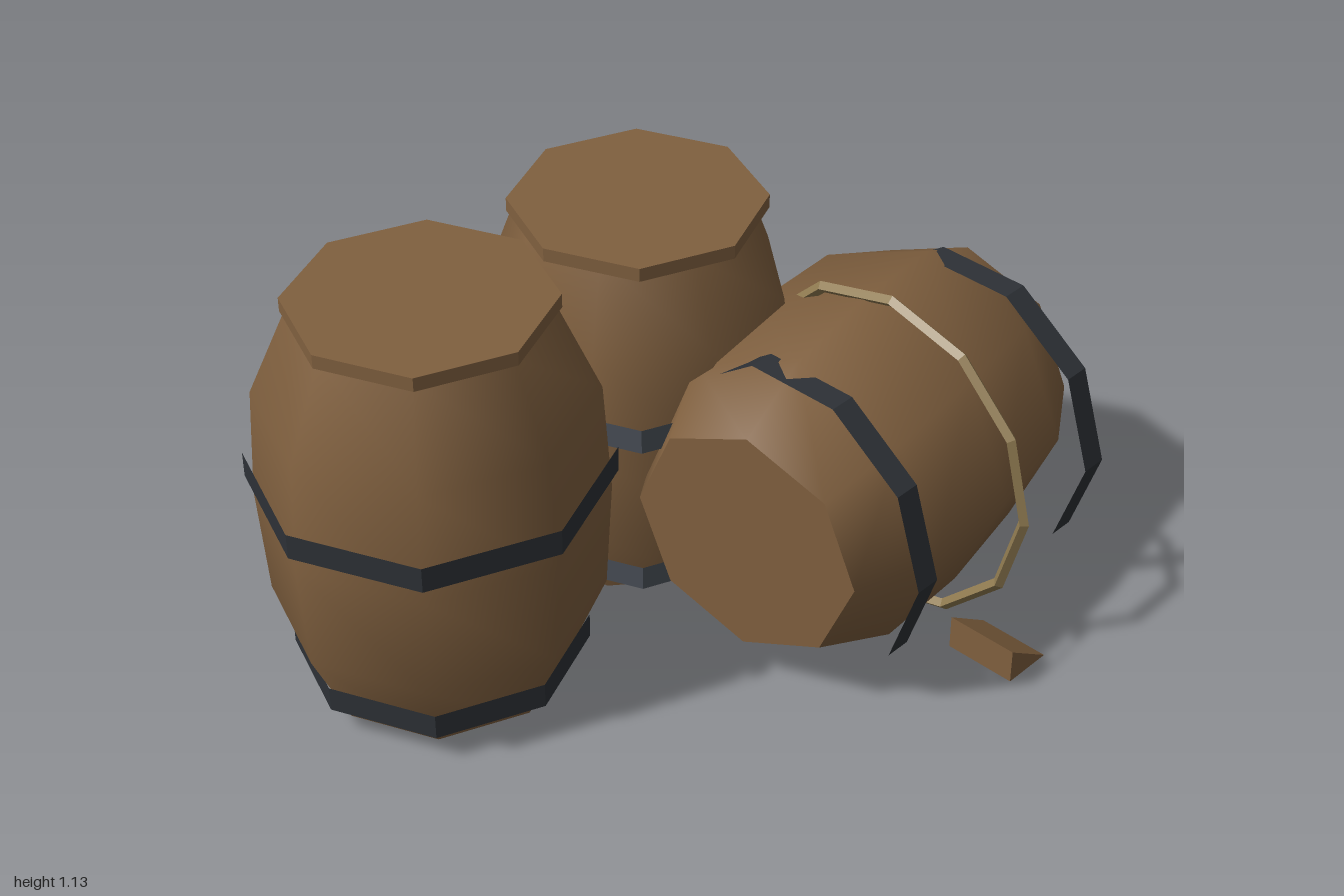
import * as THREE from 'three';

const mat = (color, flatShading = true) =>
  new THREE.MeshStandardMaterial({ color, flatShading, roughness: 0.9 });
const wood = mat(0x80603f);
const woodSmooth = mat(0x80603f, false);
const iron = mat(0x2d3136);
const steel = mat(0x494f57);
const rope = mat(0x8f7a50);

function add(parent, name, geometry, material, x = 0, y = 0, z = 0) {
  const mesh = new THREE.Mesh(geometry, material);
  mesh.name = name;
  mesh.position.set(x, y, z);
  parent.add(mesh);
  return mesh;
}

// Eight-sided bulging body along y, centred on its origin, with flat ends
function barrelBody(name, half, shoulder, rEnd, rShoulder, rMid) {
  const group = new THREE.Group();
  group.name = name;
  const profile = [[rEnd, -half], [rShoulder, -shoulder], [rMid, 0], [rShoulder, shoulder], [rEnd, half]]
    .map(([r, y]) => new THREE.Vector2(r, y));
  add(group, 'staves', new THREE.LatheGeometry(profile, 8), woodSmooth);
  for (const side of [-1, 1]) {
    const end = add(group, 'barrelEnd', new THREE.CircleGeometry(rEnd, 8), wood, 0, side * half, 0);
    end.rotation.x = -side * Math.PI / 2;
  }
  return group;
}

// Thin open hoop around y, visible from outside
const hoop = (r, sides) => new THREE.CylinderGeometry(r, r, 0.07, sides, 1, true);

// Standing barrel with a lid and two hoops
function standingBarrel(name, x, z, lidY, body, hoops, hoopMaterial) {
  const group = new THREE.Group();
  group.name = name;
  group.position.set(x, 0, z);
  group.add(body);
  add(group, 'lid', new THREE.CylinderGeometry(0.33, 0.33, 0.037, 8), wood, 0, lidY, 0);
  for (const [r, y] of hoops) add(group, 'hoop', hoop(r, 8), hoopMaterial, 0, y, 0);
  return group;
}

export function createModel() {
  const model = new THREE.Group();
  model.name = 'barrels';

  // Tall standing barrel
  const tall = barrelBody('tallBody', 0.54, 0.3, 0.315, 0.42, 0.438);
  tall.position.y = 0.57;
  model.add(standingBarrel('tallBarrel', -0.545, -0.33, 1.12, tall,
    [[0.455, 0.655], [0.375, 0.125]], iron));

  // Shorter standing barrel, body turned within its hoops
  const short = barrelBody('shortBody', 0.505, 0.28, 0.305, 0.388, 0.41);
  short.position.set(0.01, 0.535, -0.015);
  short.rotation.y = -0.3;
  model.add(standingBarrel('shortBarrel', 0.2, -0.35, 1.047, short,
    [[0.425, 0.615], [0.355, 0.12]], steel));

  // Lying barrel, slightly turned
  const lying = barrelBody('lyingBarrel', 0.515, 0.3, 0.318, 0.42, 0.44);
  lying.position.set(0.44, 0.455, 0.197);
  lying.rotation.set(0, 0.145, -Math.PI / 2);
  model.add(lying);

  // Loose hoops around the lying barrel
  for (const x of [0.115, 0.775]) {
    const ring = add(model, 'looseHoop', hoop(0.42, 10), iron, x, 0.453, 0.28);
    ring.rotation.z = -Math.PI / 2;
  }

  // Rope ring
  const ropeRing = add(model, 'ropeRing', new THREE.TorusGeometry(0.45, 0.016, 4, 12), rope, 0.443, 0.475, 0.283);
  ropeRing.rotation.y = Math.PI / 2;

  // Wedges in front of and behind the lying barrel
  const triangle = new THREE.Shape([[0, 0], [0.14, 0], [0, 0.097]].map(([x, y]) => new THREE.Vector2(x, y)));
  const wedge = new THREE.ExtrudeGeometry(triangle, { depth: 0.198, bevelEnabled: false });
  for (const z of [0.585, -0.217]) add(model, 'wedge', wedge, wood, 0.375, 0.03, z);

  return model;
}
